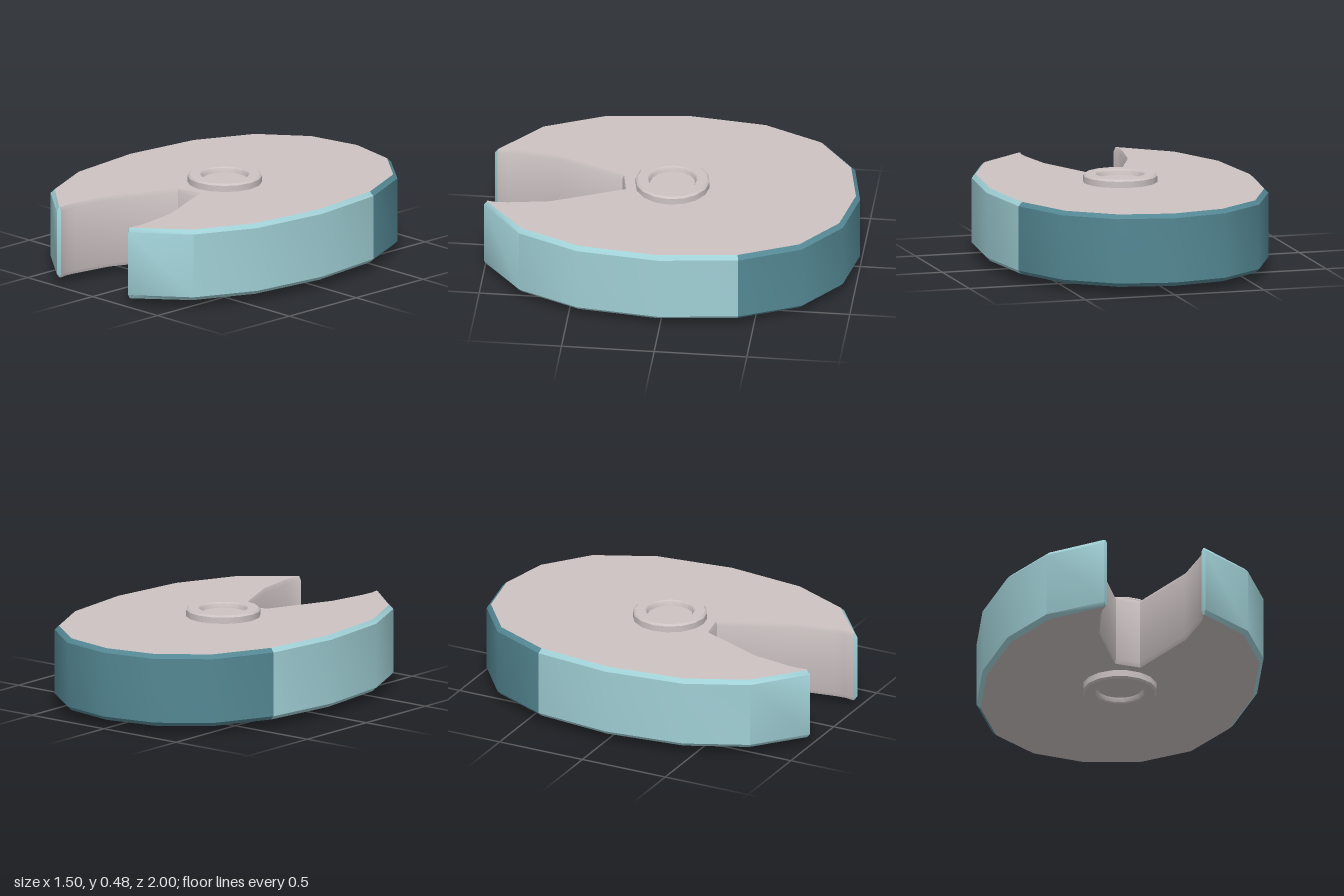
import * as THREE from 'three';
import { toCreasedNormals } from 'three/addons/utils/BufferGeometryUtils.js';

const paint = (name, color) => {
  const m = new THREE.MeshStandardMaterial({ color });
  m.name = name;
  return m;
};

export function createModel() {
  const materials = [
    paint('warm grey', 0xcdc3c3),
    paint('light teal', 0xa0d0d6),
    paint('dark teal', 0x548894),
  ];
  const GREY = 0, LIGHT = 1, DARK = 2;

  // Half outline: x, z, bevel inset, colour of the wall that follows
  const half = [
    [0, -1, 0.022, DARK], [0.3, -0.94, 0.022, DARK], [0.55, -0.745, 0.022, DARK],
    [0.7, -0.42, 0.022, LIGHT], [0.75, 0.01, 0.022, LIGHT], [0.7, 0.45, 0.022, LIGHT],
    [0.55, 0.78, 0.022, LIGHT], [0.275, 1, 0.014, LIGHT], [0.258, 0.985, 0.008, GREY],
    [0.268, 0.93, 0.008, GREY], [0.264, 0.87, 0.008, GREY], [0.228, 0.65, 0.008, GREY],
  ];
  // Mirror the half, joining both sides across the slanted notch floor
  const mirrored = half.slice(1).reverse().map(([x, z, inset], i) =>
    [-x, z, inset, half[half.length - 2 - i][3]]);
  const outline = [...half, [0.06, 0.265, 0.008, GREY], [-0.075, 0.29, 0.008, GREY], ...mirrored];
  const n = outline.length;

  // Shrink the outline along the mitre at each corner
  const edgeNormal = (i) => {
    const a = outline[(i + n) % n], b = outline[(i + 1) % n];
    return new THREE.Vector2(b[1] - a[1], a[0] - b[0]).normalize();
  };
  const inner = outline.map(([x, z, inset], i) => {
    const m = edgeNormal(i - 1).add(edgeNormal(i)).normalize();
    const mitre = inset / Math.max(0.6, m.dot(edgeNormal(i)));
    return new THREE.Vector2(x - m.x * mitre, z - m.y * mitre);
  });
  const outer = outline.map(([x, z]) => new THREE.Vector2(x, z));

  // Cross-section levels from top to bottom
  const levels = [[inner, 0.44], [outer, 0.418], [outer, 0.067], [inner, 0.045]];
  const point = (level, i) => {
    const [ring, y] = levels[level];
    const p = ring[i % n];
    return [p.x, y, p.y];
  };

  // Bevelled walls, coloured by run
  const pos = [];
  const geo = new THREE.BufferGeometry();
  for (let i = 0; i < n; i++) {
    const start = pos.length / 3;
    for (let l = 0; l < 3; l++) {
      const a = point(l, i), b = point(l, i + 1), c = point(l + 1, i), d = point(l + 1, i + 1);
      pos.push(...a, ...b, ...c, ...b, ...d, ...c);
    }
    geo.addGroup(start, pos.length / 3 - start, outline[i][3]);
  }

  // Flat top and underside
  const capStart = pos.length / 3;
  for (const [a, b, c] of THREE.ShapeUtils.triangulateShape(inner, [])) {
    const A = inner[a], B = inner[b], C = inner[c];
    const cross = (B.x - A.x) * (C.y - A.y) - (B.y - A.y) * (C.x - A.x);
    const up = cross < 0 ? [a, b, c] : [a, c, b];
    for (const i of up) pos.push(...point(0, i));
    for (const i of [...up].reverse()) pos.push(...point(3, i));
  }
  geo.addGroup(capStart, pos.length / 3 - capStart, GREY);
  geo.setAttribute('position', new THREE.Float32BufferAttribute(pos, 3));

  const group = new THREE.Group();
  const body = new THREE.Mesh(toCreasedNormals(geo, 0.6), materials);
  body.name = 'notchedDisc';
  group.add(body);

  // Hub with a shallow recess at both ends
  const lower = [[0, 0.03], [0.122, 0.03], [0.128, 0.006], [0.134, 0], [0.19, 0], [0.2, 0.01]];
  const upper = lower.map(([r, y]) => [r, 0.484 - y]).reverse();
  const profile = [...lower, ...upper].map(([r, y]) => new THREE.Vector2(r, y));
  const hub = new THREE.Mesh(
    toCreasedNormals(new THREE.LatheGeometry(profile, 16), 0.6), materials[GREY]);
  hub.name = 'hub';
  hub.position.z = 0.012;
  group.add(hub);

  return group;
}
